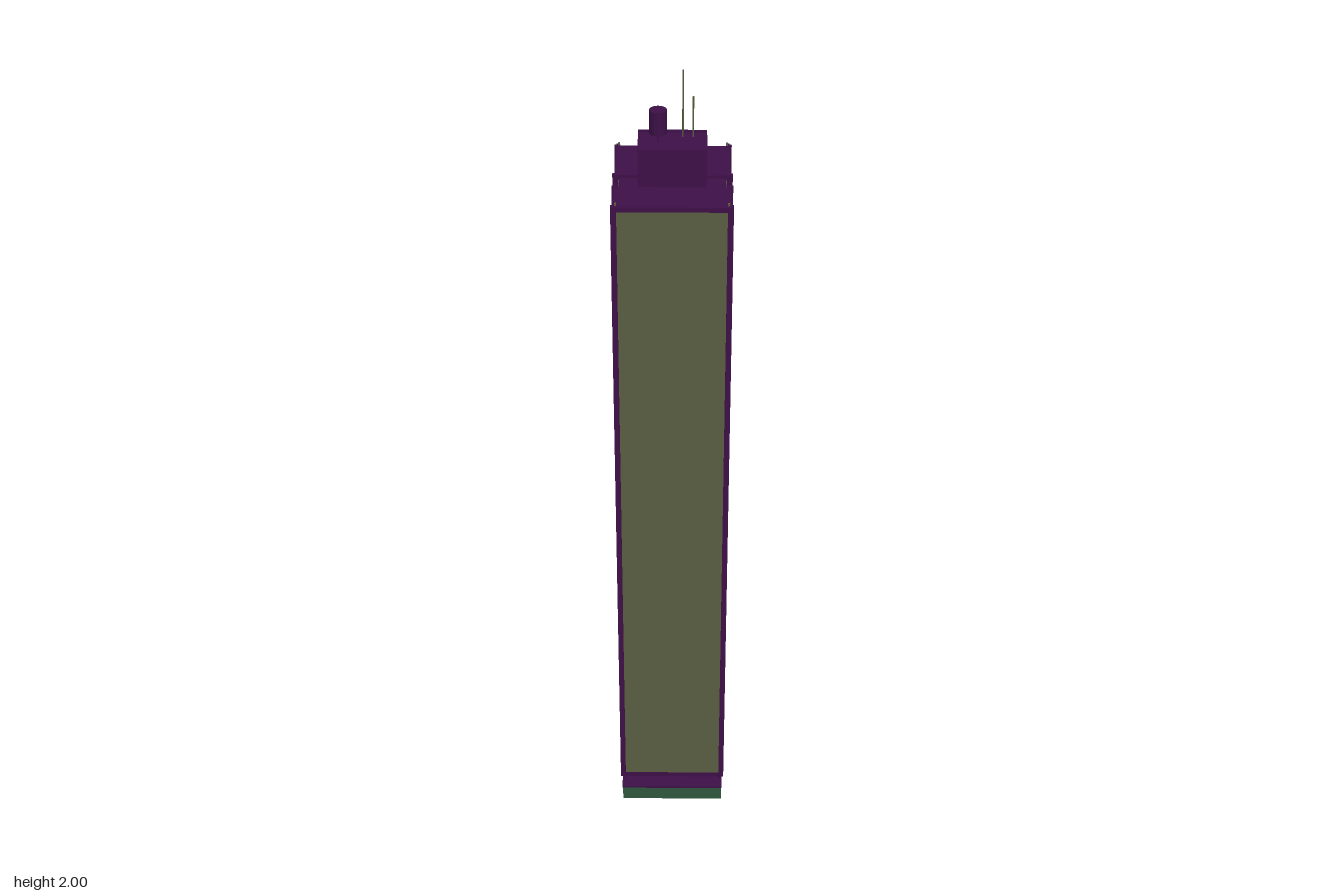
import * as THREE from 'three';

const mat = (color, side = THREE.FrontSide) =>
  new THREE.MeshStandardMaterial({ color, side });

export function createModel() {
  const tower = new THREE.Group();
  tower.name = 'skyscraper';

  const glass = mat(0x5a5d42);
  const trim = mat(0x3d1047);
  const core = mat(0x5a1646);
  const stoneFront = mat(0x2f583e, THREE.DoubleSide);
  const stoneSide = mat(0x344a47, THREE.DoubleSide);
  const stoneBack = mat(0x3d1047, THREE.DoubleSide);
  const metal = mat(0x5a5d42);

  // Box given by its limits on each axis
  const box = (name, x0, x1, y0, y1, z0, z1, material, parent = tower) => {
    const m = new THREE.Mesh(new THREE.BoxGeometry(x1 - x0, y1 - y0, z1 - z0), material);
    m.position.set((x0 + x1) / 2, (y0 + y1) / 2, (z0 + z1) / 2);
    m.name = name;
    parent.add(m);
    return m;
  };
  const rod = (name, r, y0, y1, x, z, sides, material) => {
    const m = new THREE.Mesh(new THREE.CylinderGeometry(r, r, y1 - y0, sides), material);
    m.position.set(x, (y0 + y1) / 2, z);
    m.name = name;
    tower.add(m);
    return m;
  };

  const W = 0.13, BACK = -0.172, FRONT = 0.137;
  const BASE = 0.08, GLASS_TOP = 1.745, ROOF = 1.757;
  const GROOVE_BACK = -0.02, GROOVE_FRONT = 0.039;

  // Street level walls, open underneath
  const base = new THREE.Group();
  base.name = 'base';
  tower.add(base);
  const wall = (name, width, x, z, turn, material) => {
    const m = new THREE.Mesh(new THREE.PlaneGeometry(width, BASE), material);
    m.position.set(x, BASE / 2, z);
    m.rotation.y = turn;
    m.name = name;
    base.add(m);
  };
  const midZ = (BACK + FRONT) / 2, depth = FRONT - BACK;
  wall('frontBaseWall', W * 2, 0, FRONT, 0, stoneFront);
  wall('backBaseWall', W * 2, 0, BACK, Math.PI, stoneBack);
  wall('leftBaseWall', depth, W, midZ, Math.PI / 2, stoneSide);
  wall('rightBaseWall', depth, -W, midZ, -Math.PI / 2, stoneSide);

  // Floor band and entrance canopy
  box('floorBand', -W, W, BASE, 0.094, BACK, FRONT, trim);
  box('entranceCanopy', -W, W, 0.074, 0.08, FRONT - 0.003, 0.175, trim);

  // Two glazed slabs either side of the recessed core
  for (const [name, z0, z1] of [['back', BACK, GROOVE_BACK], ['front', GROOVE_FRONT, FRONT]]) {
    box(name + 'Slab', -W, W, 0.094, GLASS_TOP, z0, z1, glass);
    box(name + 'Roof', -W, W, GLASS_TOP, ROOF, z0, z1, trim);
  }
  box('core', -W + 0.01, W - 0.01, 0.094, GLASS_TOP, GROOVE_BACK, GROOVE_FRONT, core);
  box('coreRoof', -W + 0.01, W - 0.01, GLASS_TOP, 1.75, GROOVE_BACK, GROOVE_FRONT, trim);

  // Vertical fins at the slab edges, with small caps on the corners
  for (const s of [-1, 1]) {
    for (const z of [-0.169, -0.021, 0.04, 0.134]) {
      const [a, b] = [s * 0.122, s * 0.135].sort((p, q) => p - q);
      box('sideFin', a, b, BASE, 1.76, z - 0.004, z + 0.004, trim);
    }
    for (const z of [BACK, FRONT]) {
      box('endFin', s * 0.126 - 0.004, s * 0.126 + 0.004, BASE, 1.76, z - 0.006, z + 0.006, trim);
    }
    for (const z of [-0.169, 0.134]) {
      rod('cornerCap', 0.003, 1.755, 1.766, s * 0.124, z, 6, metal);
    }
  }

  // Plant room with a thin raised rim
  const PX = 0.077, P0 = -0.068, P1 = 0.035, PT = 1.846;
  box('plantRoom', -PX, PX, GLASS_TOP, PT - 0.005, P0, P1, trim);
  for (const s of [-1, 1]) {
    box('plantRoomSideRim', s * 0.0755 - 0.0015, s * 0.0755 + 0.0015, PT - 0.005, PT, P0, P1, trim);
  }
  for (const z of [P0, P1 - 0.003]) {
    box('plantRoomEndRim', -PX, PX, PT - 0.005, PT, z, z + 0.003, trim);
  }

  // Rooftop tank and antennas
  rod('tankStem', 0.002, PT - 0.006, 1.864, -0.032, -0.017, 6, trim);
  rod('waterTank', 0.02, 1.862, 1.918, -0.032, -0.017, 12, core).material = trim;
  rod('tallAntenna', 0.002, PT - 0.006, 2, 0.023, -0.043, 6, metal);
  rod('shortAntenna', 0.002, PT - 0.006, 1.938, 0.046, -0.043, 6, metal);

  return tower;
}
